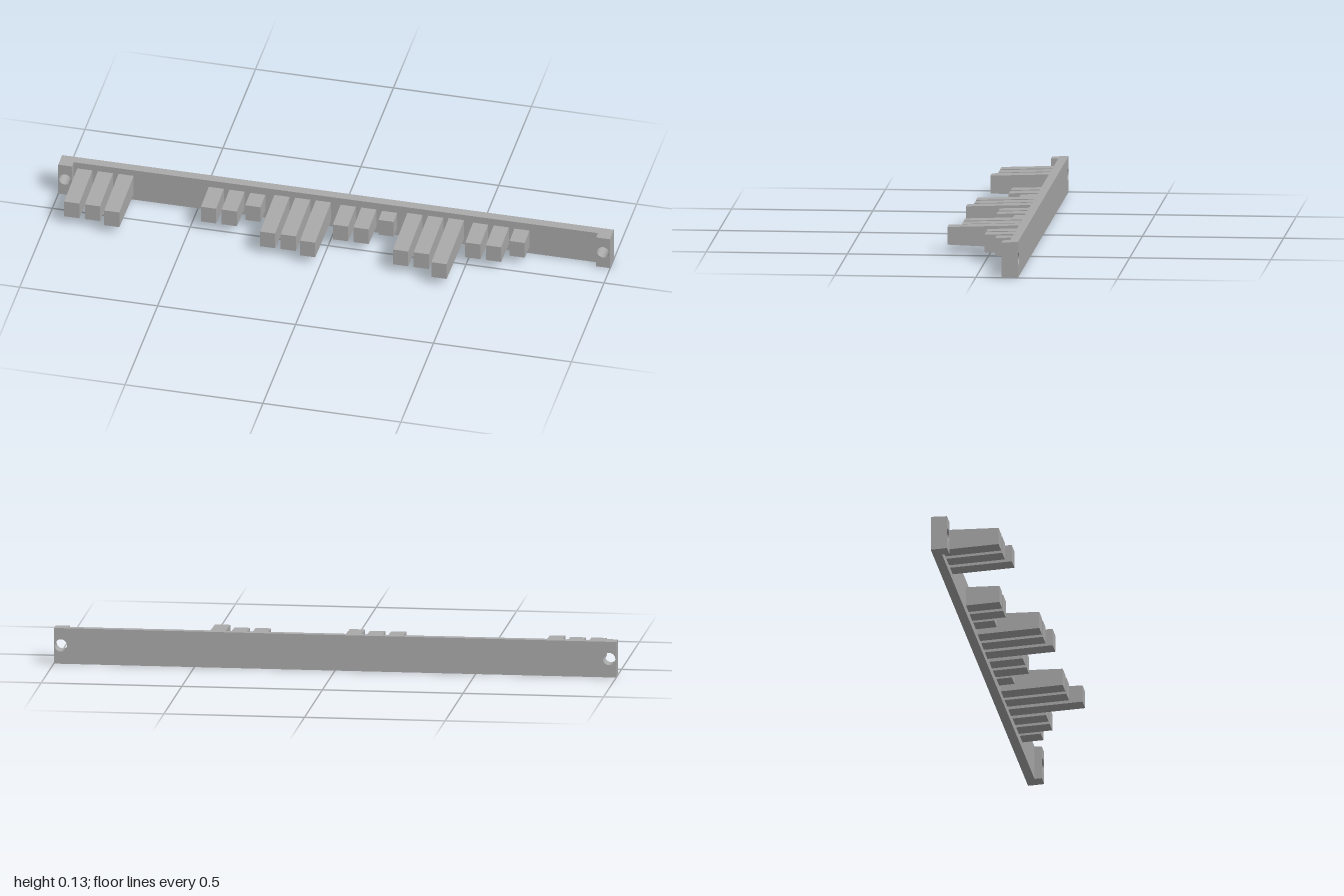
import * as THREE from 'three';

const MID = 0.064;      // height of the centre line
const BACK = -0.149;    // rear face of the rail
const FACE = -0.117;    // front face of the rail
const PAD = -0.091;     // front face of the end pads
const DRAFT = Math.tan(THREE.MathUtils.degToRad(2));

// Drafts top and bottom: half height grows towards the back from a reference z.
function draft(geometry, half, zRef) {
  const p = geometry.attributes.position;
  for (let i = 0; i < p.count; i++) {
    const y = p.getY(i);
    if (Math.abs(y) < 0.03) continue; // leave the screw holes straight
    p.setY(i, Math.sign(y) * (half + (zRef - p.getZ(i)) * DRAFT));
  }
  geometry.computeVertexNormals();
  return geometry;
}

// Upright rectangle pierced by round holes, extruded from z0 to z1.
function piercedSlab(x0, x1, z0, z1, holes) {
  const h = 0.063;
  const shape = new THREE.Shape([
    new THREE.Vector2(x0, -h), new THREE.Vector2(x1, -h),
    new THREE.Vector2(x1, h), new THREE.Vector2(x0, h),
  ]);
  for (const x of holes) {
    shape.holes.push(new THREE.Path().absarc(x, 0.002, 0.022, 0, Math.PI * 2, true));
  }
  const g = new THREE.ExtrudeGeometry(shape, { depth: z1 - z0, bevelEnabled: false, curveSegments: 24 });
  g.translate(0, 0, z0);
  return draft(g, 0.064, BACK);
}

export function createModel() {
  const group = new THREE.Group();
  const grey = new THREE.MeshStandardMaterial({ color: 0xaaaaaa });
  grey.name = 'grey';

  const add = (name, geometry) => {
    const mesh = new THREE.Mesh(geometry, grey);
    mesh.name = name;
    mesh.position.y = MID;
    group.add(mesh);
  };

  // Long rail with a screw hole at each end
  add('rail', piercedSlab(-1, 1, BACK, FACE, [-0.975, 0.975]));

  // Raised pads around the screw holes
  add('rightEndPad', piercedSlab(-1, -0.95, FACE, PAD, [-0.975]));
  add('leftEndPad', piercedSlab(0.95, 1, FACE, PAD, [0.975]));

  // Groups of three teeth: centre of the middle tooth and the front z of each
  const toothGroups = [
    [-0.835, [0.083, 0.083, 0.104]],
    [-0.358, [0.003, 0.003, -0.042]],
    [-0.12, [0.104, 0.104, 0.126]],
    [0.12, [0.003, 0.003, -0.062]],
    [0.362, [0.104, 0.104, 0.149]],
    [0.6, [0.003, 0.003, -0.042]],
  ];
  toothGroups.forEach(([middle, fronts], g) => {
    fronts.forEach((front, i) => {
      const root = FACE - 0.005; // slightly sunk into the rail
      const tooth = new THREE.BoxGeometry(0.055, 0.064, front - root);
      tooth.translate(middle + (i - 1) * 0.075, 0, (front + root) / 2);
      add(`tooth${g * 3 + i + 1}`, draft(tooth, 0.0315, front));
    });
  });

  return group;
}
